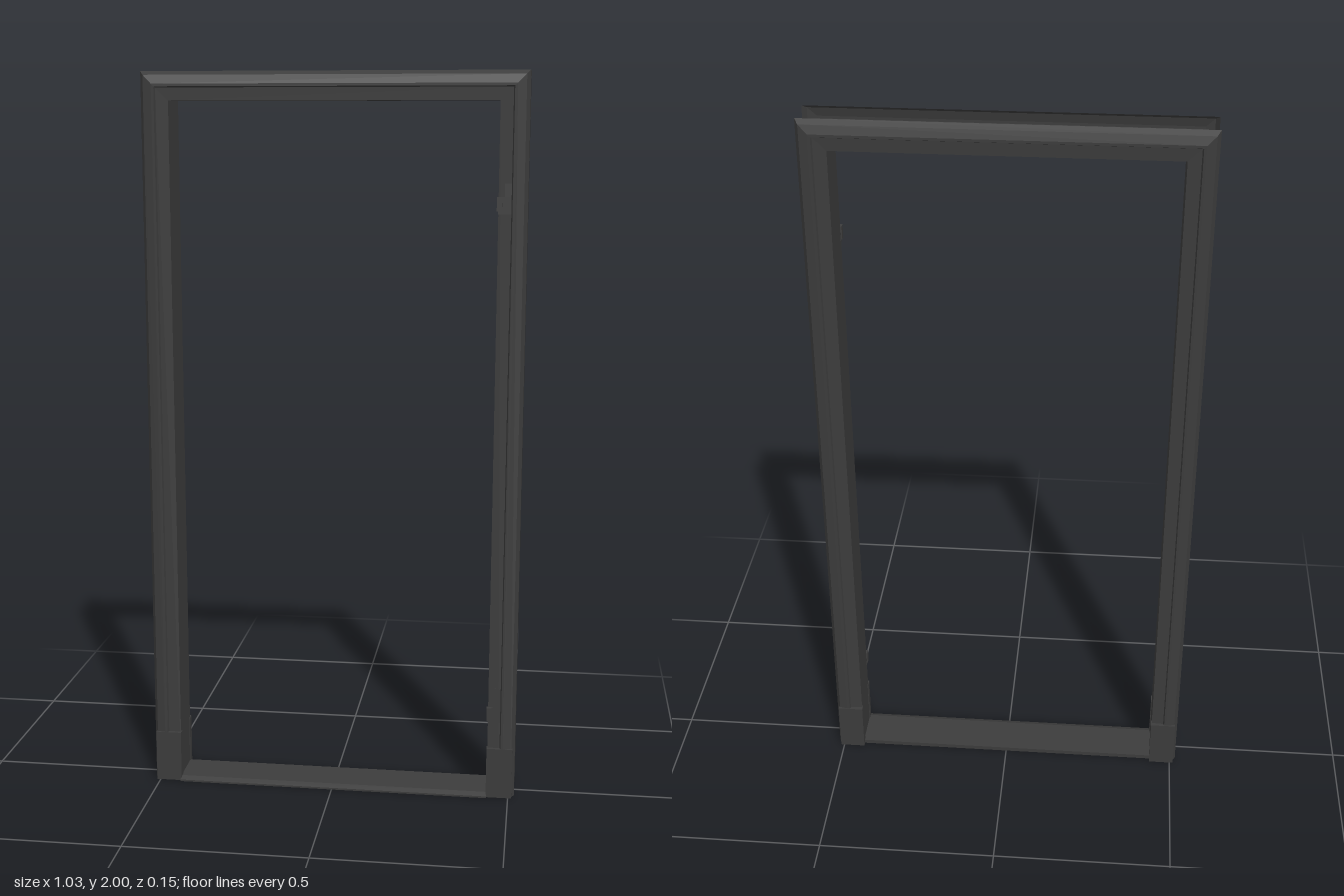
import * as THREE from 'three';

const HALF = 0.44;   // half width of the opening
const HEAD = 1.923;  // height of the opening
const MID = -0.005;  // middle of the wall depth

export function createModel() {
  const root = new THREE.Group();
  root.name = 'doorFrame';
  const paint = new THREE.MeshStandardMaterial({ color: 0x3c3c3c, side: THREE.DoubleSide });
  paint.name = 'charcoalPaint';

  function add(name, geometry, x = 0, y = 0, z = 0) {
    const mesh = new THREE.Mesh(geometry, paint);
    mesh.name = name;
    mesh.position.set(x, y, z);
    root.add(mesh);
    return mesh;
  }
  // box given by its limits
  function block(name, x0, x1, y0, y1, z0, z1) {
    return add(name, new THREE.BoxGeometry(x1 - x0, y1 - y0, z1 - z0),
      (x0 + x1) / 2, (y0 + y1) / 2, (z0 + z1) / 2);
  }

  // moulding profile: [distance outward from the opening, depth from wall middle]
  const profile = [
    [0, 0.046], [0, 0.058], [0.034, 0.060], [0.037, 0.067],
    [0.044, 0.067], [0.067, 0.062], [0.077, 0.046],
  ];

  // mitred casing: the profile swept up one side, across the head and down
  function casing(side) {
    const stations = [[-1, 0], [-1, 1], [1, 1], [1, 0]];
    const at = (s, [u, d]) => [
      s[0] * (HALF + u), s[1] ? HEAD + u : 0, side * d,
    ];
    const pos = [];
    for (let i = 0; i < 3; i++) {
      for (let j = 0; j < profile.length - 1; j++) {
        const a = at(stations[i], profile[j]);
        const b = at(stations[i + 1], profile[j]);
        const c = at(stations[i + 1], profile[j + 1]);
        const d = at(stations[i], profile[j + 1]);
        const corners = side > 0 ? [a, b, c, a, c, d] : [a, c, b, a, d, c];
        // the profile runs outward, so outer faces wind the other way round
        for (let k = 0; k < 6; k += 3) {
          pos.push(...corners[k], ...corners[k + 2], ...corners[k + 1]);
        }
      }
    }
    const g = new THREE.BufferGeometry();
    g.setAttribute('position', new THREE.Float32BufferAttribute(pos, 3));
    g.computeVertexNormals();
    return g;
  }
  add('frontCasing', casing(1), 0, 0, MID);
  add('backCasing', casing(-1), 0, 0, MID);

  // thin lining of the opening
  const front = MID + 0.056, back = MID - 0.056;
  block('headJamb', -HALF, HALF, HEAD, HEAD + 0.004, back, front);
  for (const s of [-1, 1]) {
    const label = s > 0 ? 'left' : 'right';
    const x0 = s > 0 ? HALF : -HALF - 0.004;
    block(label + 'Jamb', x0, x0 + 0.004, 0, HEAD, back, front);

    // plinth blocks at the feet of both casings
    const p0 = s > 0 ? HALF - 0.002 : -HALF - 0.07;
    block(label + 'FrontPlinth', p0, p0 + 0.072, 0, 0.145, MID + 0.048, MID + 0.069);
    block(label + 'BackPlinth', p0, p0 + 0.072, 0, 0.145, MID - 0.069, MID - 0.048);
  }

  // sill with a bevelled nose
  const sill = new THREE.Shape([
    new THREE.Vector2(back, 0), new THREE.Vector2(0.071, 0),
    new THREE.Vector2(0.071, 0.005), new THREE.Vector2(0.055, 0.012),
    new THREE.Vector2(back, 0.012),
  ]);
  const sillGeometry = new THREE.ExtrudeGeometry(sill, { depth: 2 * HALF, bevelEnabled: false });
  sillGeometry.rotateY(-Math.PI / 2);
  add('sill', sillGeometry, HALF, 0, 0);

  // hinges let into the left side of the front casing
  const zh = MID + 0.059;
  for (const [name, y, top] of [['upperHinge', 1.63, 1.71], ['lowerHinge', 0.22, 0.32]]) {
    block(name + 'Leaf', HALF - 0.001, HALF + 0.034, y, y + 0.045, zh - 0.006, zh + 0.003);
    block(name + 'Strap', HALF + 0.016, HALF + 0.034, y + 0.045, top, zh - 0.006, zh + 0.003);
    block(name + 'Knuckle', HALF - 0.004, HALF + 0.01, y + 0.008, y + 0.045, zh - 0.004, zh + 0.011);
  }
  return root;
}
